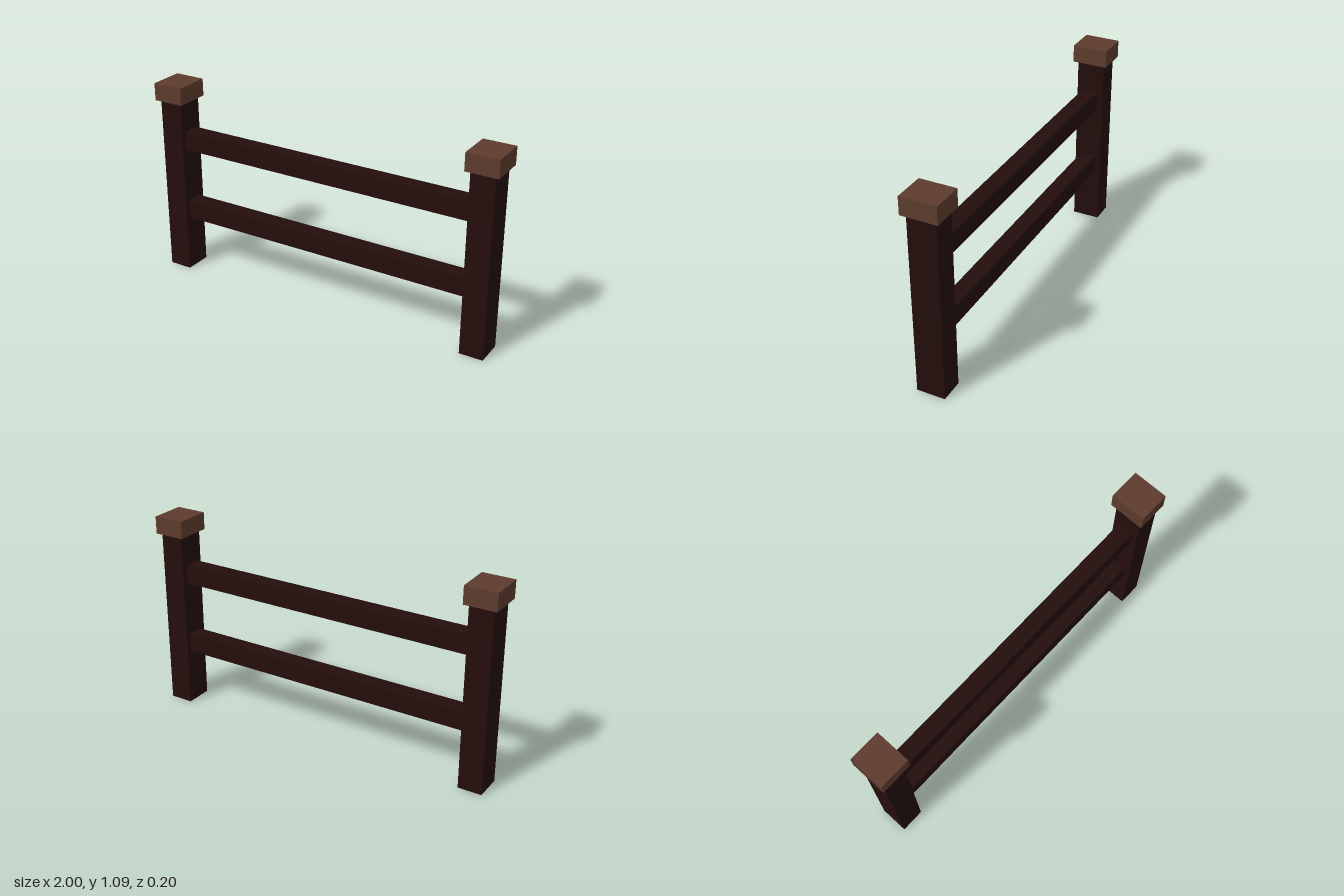
import * as THREE from 'three';

export function createModel() {
  const group = new THREE.Group();
  const darkWood = new THREE.MeshStandardMaterial({ color: 0x230d0c });
  darkWood.name = 'darkWood';
  const capWood = new THREE.MeshStandardMaterial({ color: 0x5c3b2d });
  capWood.name = 'capWood';

  // Box given by its size, centre x and bottom height
  const addBox = (name, material, [w, h, d], x, bottom) => {
    const mesh = new THREE.Mesh(new THREE.BoxGeometry(w, h, d), material);
    mesh.name = name;
    mesh.position.set(x, bottom + h / 2, 0);
    group.add(mesh);
  };

  // Square posts with overhanging caps
  for (const [side, sign] of [['left', 1], ['right', -1]]) {
    addBox(side + 'Post', darkWood, [0.13, 0.997, 0.154], sign * 0.913, 0);
    addBox(side + 'Cap', capWood, [0.174, 0.096, 0.196], sign * 0.913, 0.997);
  }

  // Horizontal rails, ends set slightly into the posts
  addBox('lowerRail', darkWood, [1.72, 0.106, 0.09], 0, 0.308);
  addBox('upperRail', darkWood, [1.72, 0.106, 0.09], 0, 0.721);

  return group;
}
